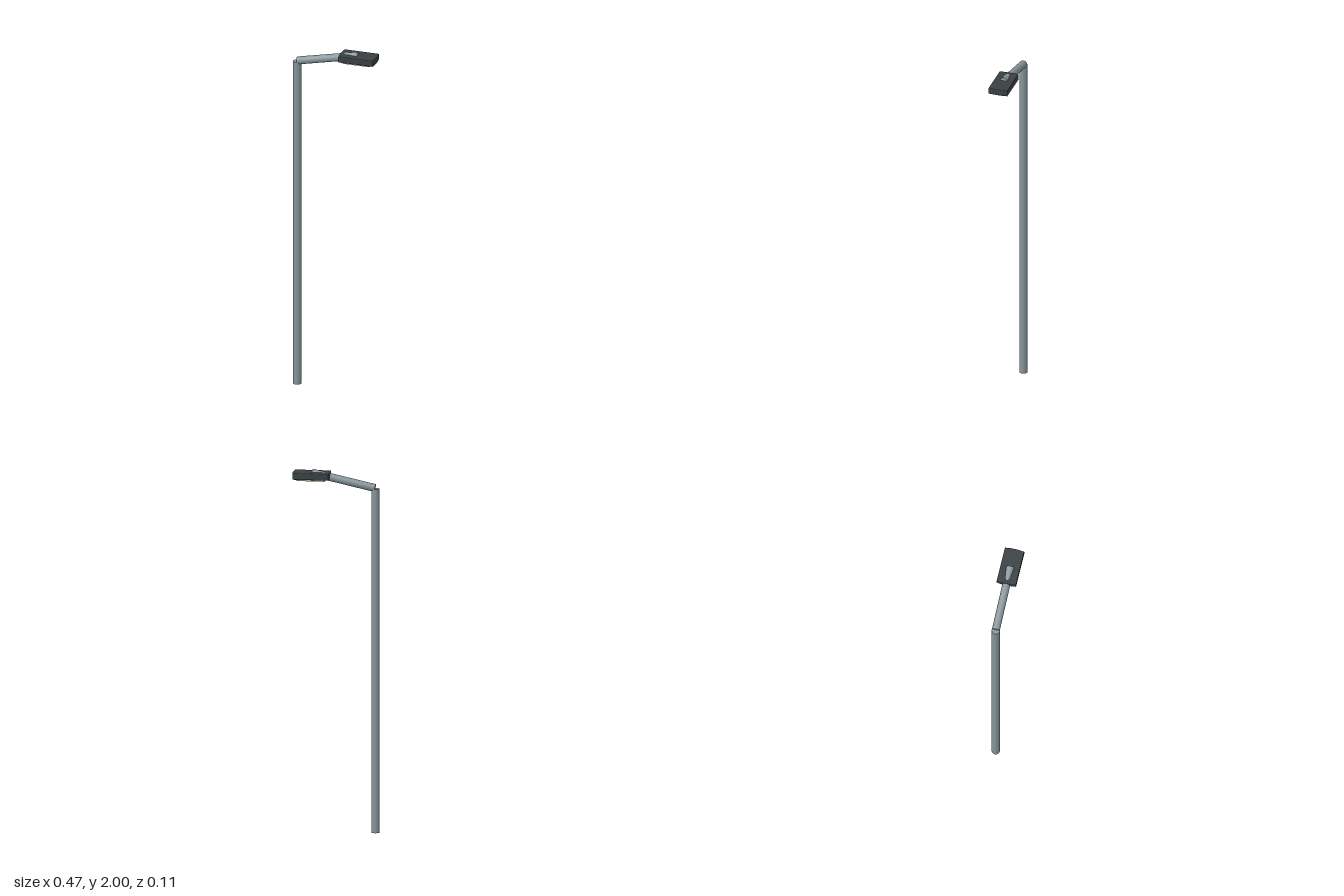
import * as THREE from 'three';

const paint = (color) => new THREE.MeshStandardMaterial({ color });

// Capped round tube between two points
function tube(name, from, to, radius, material) {
  const dir = to.clone().sub(from);
  const mesh = new THREE.Mesh(new THREE.CylinderGeometry(radius, radius, dir.length(), 24), material);
  mesh.position.copy(from).add(to).multiplyScalar(0.5);
  mesh.quaternion.setFromUnitVectors(new THREE.Vector3(0, 1, 0), dir.normalize());
  mesh.name = name;
  return mesh;
}

// Lamp head outline: a rectangle with gently bowed ends
function headShape(halfLength, halfWidth, bow) {
  const s = new THREE.Shape();
  s.moveTo(-halfLength, -halfWidth);
  s.lineTo(halfLength, -halfWidth);
  s.quadraticCurveTo(halfLength + bow * 2, 0, halfLength, halfWidth);
  s.lineTo(-halfLength, halfWidth);
  s.quadraticCurveTo(-halfLength - bow * 2, 0, -halfLength, -halfWidth);
  return s;
}

export function createModel() {
  const group = new THREE.Group();
  const steel = paint(0x87959a);
  const v = (x, y) => new THREE.Vector3(x, y, 0);

  // Upright pole and rising arm
  group.add(tube('pole', v(-0.215, 0), v(-0.215, 1.9), 0.0225, steel));
  group.add(tube('arm', v(-0.212, 1.904), v(0.133, 1.979), 0.0215, steel));

  // Lamp head with bevelled edges
  const bevel = 0.004;
  const headGeo = new THREE.ExtrudeGeometry(headShape(0.0945, 0.05, 0.004), {
    depth: 0.028, bevelEnabled: true, bevelSize: bevel, bevelThickness: bevel, bevelSegments: 2, curveSegments: 8,
  });
  headGeo.rotateX(-Math.PI / 2);
  const head = new THREE.Mesh(headGeo, paint(0x3a4143));
  head.name = 'lampHead';
  head.position.set(0.1345, 1.951, 0);
  group.add(head);

  // Light panel on the underside
  const lens = new THREE.Mesh(new THREE.BoxGeometry(0.155, 0.012, 0.085), paint(0xbdb8a4));
  lens.name = 'lightPanel';
  lens.position.set(0.1345, 1.945, 0);
  group.add(lens);

  return group;
}
